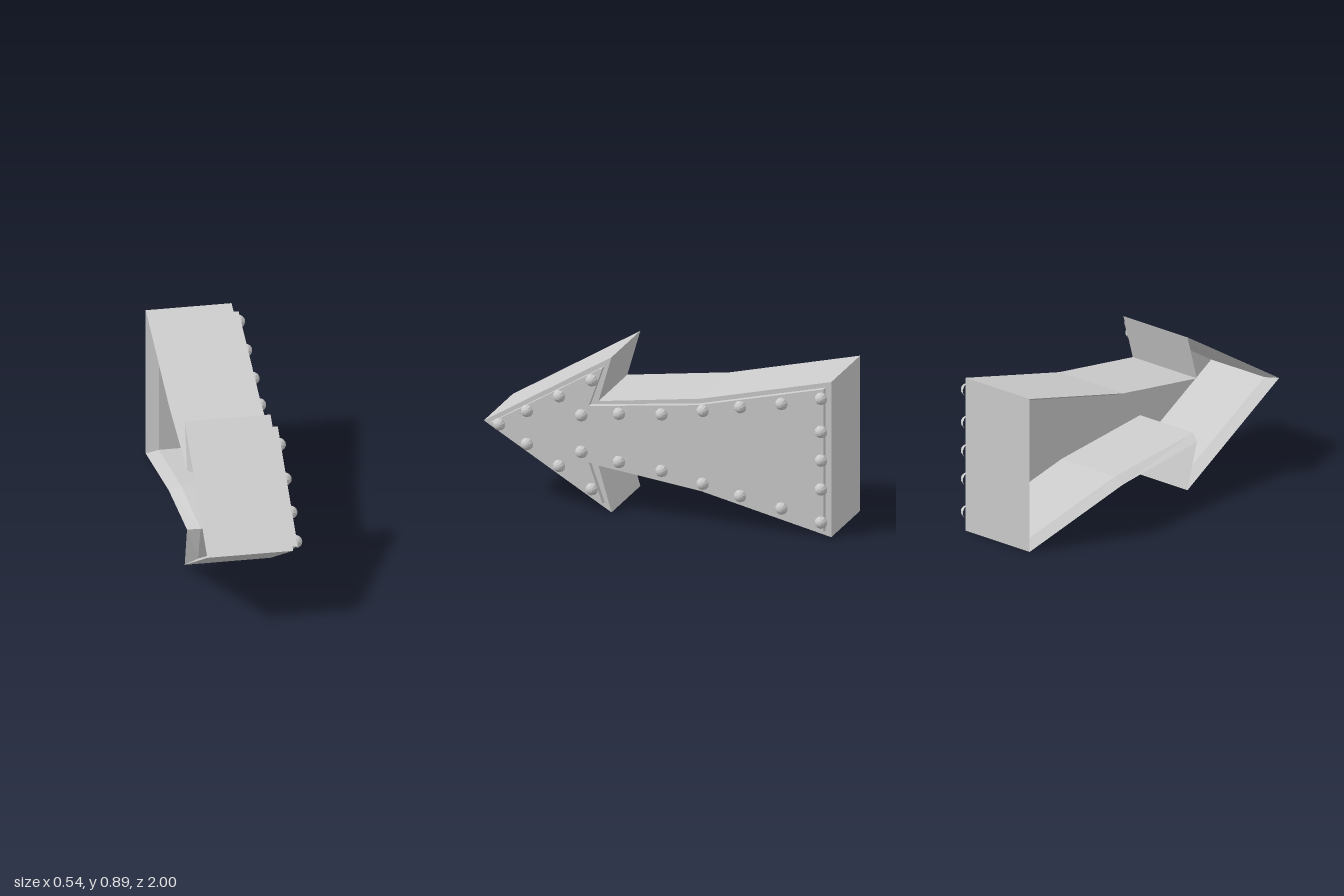
import * as THREE from 'three';

const MID = 0.445; // height of the arrow's mirror line

// Full contour from its upper half: points are (-z, y), tip first, mirrored about MID
function contour(upper) {
  const [tip, ...rest] = upper;
  const lower = rest.map(([u, y]) => [u, 2 * MID - y]);
  return [tip, ...lower, ...rest.reverse()].map(([u, y]) => new THREE.Vector2(u, y));
}

// Flat-faced skin running through a list of [contour, x] sections
function loft(sections) {
  const pos = [];
  for (let s = 0; s < sections.length - 1; s++) {
    const [c0, x0] = sections[s], [c1, x1] = sections[s + 1];
    for (let i = 0; i < c0.length; i++) {
      const j = (i + 1) % c0.length;
      const a0 = [x0, c0[i].y, -c0[i].x], b0 = [x0, c0[j].y, -c0[j].x];
      const a1 = [x1, c1[i].y, -c1[i].x], b1 = [x1, c1[j].y, -c1[j].x];
      pos.push(...a1, ...b1, ...b0, ...a1, ...b0, ...a0);
    }
  }
  const g = new THREE.BufferGeometry();
  g.setAttribute('position', new THREE.Float32BufferAttribute(pos, 3));
  g.computeVertexNormals();
  return g;
}

export function createModel() {
  const group = new THREE.Group();
  const mat = new THREE.MeshStandardMaterial({ color: 0xcccccc, flatShading: true });
  const thin = mat.clone();
  thin.side = THREE.DoubleSide;

  const add = (name, geometry, material = mat, parent = group) => {
    const mesh = new THREE.Mesh(geometry, material);
    mesh.name = name;
    parent.add(mesh);
    return mesh;
  };

  const outer = contour([[-1, MID], [-0.265, 0.89], [-0.34, 0.63], [0.25, 0.71], [1, 0.89]]);
  const inner = contour([[-0.955, MID], [-0.305, 0.835], [-0.385, 0.607], [0.245, 0.683], [0.967, 0.855]]);

  // Hollow arrow: outer wall, bevelled rim on the open side, inner wall
  add('arrowWalls', loft([[outer, 0.203], [outer, -0.27], [inner, -0.203], [inner, 0.19]]));

  // Closed side and the floor seen through the opening
  const back = new THREE.ShapeGeometry(new THREE.Shape(outer)).rotateY(Math.PI / 2).translate(0.203, 0, 0);
  add('arrowFace', back);
  const floor = new THREE.ShapeGeometry(new THREE.Shape(inner)).rotateY(Math.PI / 2).translate(0.19, 0, 0);
  add('arrowFloor', floor, thin);

  // Raised cover plate
  const plate = new THREE.ExtrudeGeometry(new THREE.Shape(inner), { depth: 0.033, bevelEnabled: false });
  add('coverPlate', plate.rotateY(Math.PI / 2).translate(0.203, 0, 0));

  // Domed rivets along the plate edge, as (z, y), mirrored about MID
  const rivets = new THREE.Group();
  rivets.name = 'rivets';
  group.add(rivets);
  const dome = new THREE.SphereGeometry(0.036, 10, 4, 0, Math.PI * 2, 0, Math.PI / 2).rotateZ(-Math.PI / 2);
  const spots = [
    [0.9, MID], [0.74, 0.54], [0.555, 0.645], [0.367, 0.757], [0.427, 0.55], [0.21, 0.583], [-0.035, 0.607],
    [-0.272, 0.654], [-0.488, 0.7], [-0.725, 0.745], [-0.953, 0.8], [-0.953, 0.61], [-0.953, MID],
  ];
  for (const [z, y] of spots) {
    for (const h of y === MID ? [y] : [y, 2 * MID - y]) {
      add('rivet', dome, mat, rivets).position.set(0.234, h, z);
    }
  }
  return group;
}
